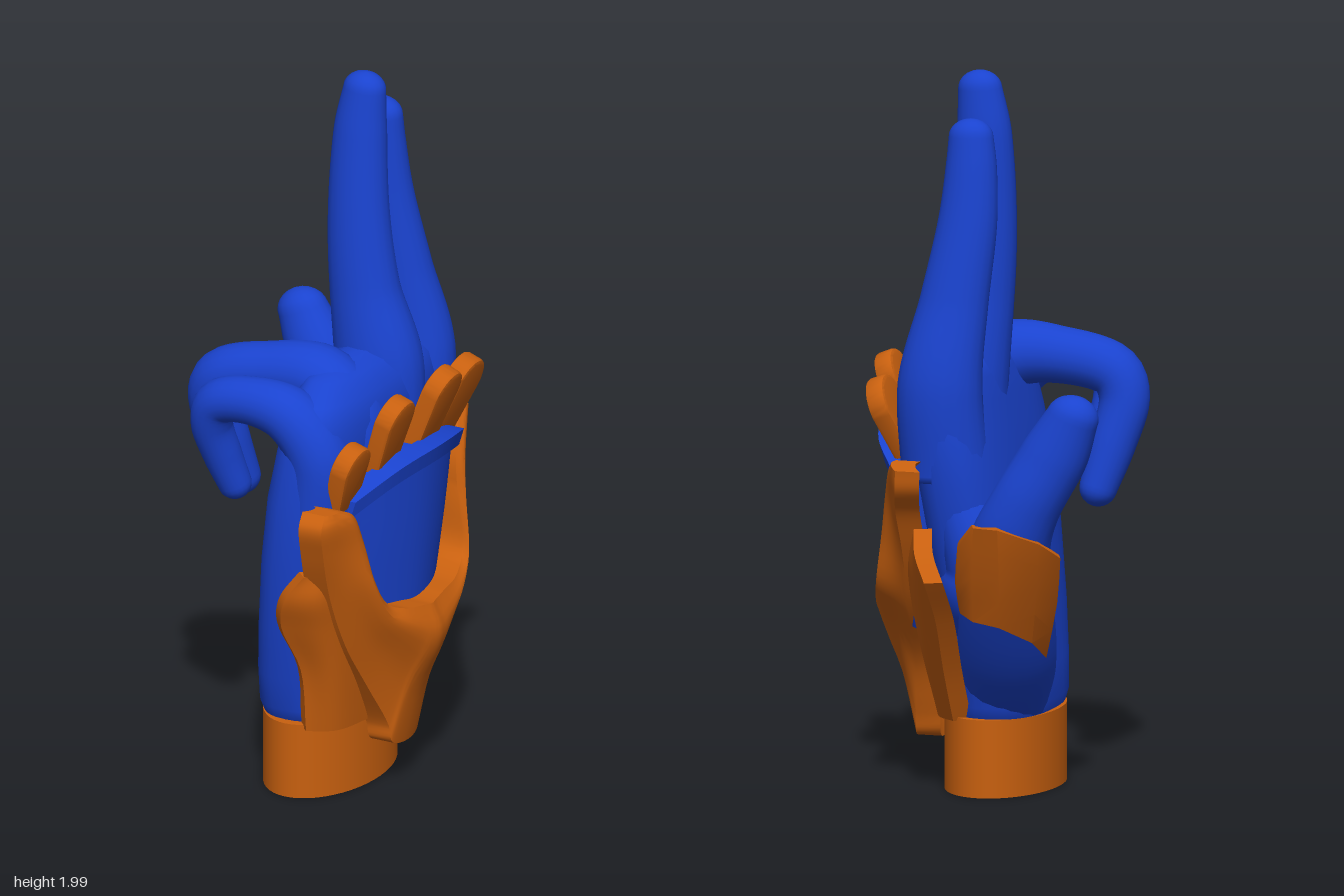
import * as THREE from 'three';
import { toCreasedNormals } from 'three/addons/utils/BufferGeometryUtils.js';

const V = (x, y, z) => new THREE.Vector3(x, y, z);
const blue = new THREE.MeshStandardMaterial({ color: 0x1a43cf });
const orange = new THREE.MeshStandardMaterial({ color: 0xc8600f, side: THREE.DoubleSide });
const bluePlate = new THREE.MeshStandardMaterial({ color: 0x1a43cf, side: THREE.DoubleSide });

// Smooth closed skin over a list of rings
function loft(rings) {
  const n = rings[0].length, pos = [], idx = [];
  const centre = r => r.reduce((a, p) => a.add(p), V(0, 0, 0)).divideScalar(n);
  rings.forEach(r => r.forEach(p => pos.push(p.x, p.y, p.z)));
  for (let i = 0; i < rings.length - 1; i++) {
    for (let j = 0; j < n; j++) {
      const k = (j + 1) % n, a = i * n, b = a + n;
      idx.push(a + j, a + k, b + k, a + j, b + k, b + j);
    }
  }
  const last = (rings.length - 1) * n, c = rings.length * n;
  for (const p of [centre(rings[0]), centre(rings[rings.length - 1])]) pos.push(p.x, p.y, p.z);
  for (let j = 0; j < n; j++) {
    const k = (j + 1) % n;
    idx.push(c, k, j, c + 1, last + j, last + k);
  }
  // Signed volume decides whether the winding must be turned round
  const at = i => V(pos[i * 3], pos[i * 3 + 1], pos[i * 3 + 2]);
  let vol = 0;
  for (let i = 0; i < idx.length; i += 3) vol += at(idx[i]).dot(at(idx[i + 1]).cross(at(idx[i + 2])));
  if (vol < 0) idx.reverse();
  const g = new THREE.BufferGeometry();
  g.setAttribute('position', new THREE.Float32BufferAttribute(pos, 3));
  g.setIndex(idx);
  g.computeVertexNormals();
  return g;
}

// Tapered limb with a round tip; each stop is [x, y, z, radius], depth widens the section along x
function limb(stops, depth = 1) {
  const curve = new THREE.CatmullRomCurve3(stops.map(s => V(s[0], s[1], s[2])), false, 'centripetal');
  const radius = new THREE.CatmullRomCurve3(stops.map(s => V(s[3], 0, 0)));
  const steps = 48, n = 20, f = curve.computeFrenetFrames(steps);
  const ring = (c, r, i) => Array.from({ length: n }, (_, j) => {
    const a = j / n * Math.PI * 2;
    const o = V(0, 0, 0).addScaledVector(f.normals[i], r * Math.cos(a)).addScaledVector(f.binormals[i], r * Math.sin(a));
    o.x *= depth;
    return o.add(c);
  });
  const rings = [];
  // Frames are spaced by arc length, so the points and radii are too
  for (let i = 0; i <= steps; i++) {
    const t = curve.getUtoTmapping(i / steps);
    rings.push(ring(curve.getPoint(t), radius.getPoint(t).x, i));
  }
  const r = stops[stops.length - 1][3], end = curve.getPoint(1);
  for (let k = 1; k <= 6; k++) {
    const a = k / 6.3 * Math.PI / 2;
    rings.push(ring(end.clone().addScaledVector(f.tangents[steps], r * Math.sin(a)), r * Math.cos(a), steps));
  }
  return loft(rings);
}

// Curved armour plate: a grid of [x, y, z] rows, thickened along an offset
function plate(rows, offset, nu = 8, nv = 24) {
  const spline = pts => new THREE.CatmullRomCurve3(pts, false, 'centripetal');
  const lines = rows.map(r => spline(r.map(p => V(...p))));
  const grid = [];
  for (let u = 0; u <= nu; u++) {
    const across = spline(lines.map(l => l.getPoint(u / nu)));
    grid.push(Array.from({ length: nv + 1 }, (_, v) => across.getPoint(v / nv)));
  }
  const off = V(...offset), back = grid.map(l => l.map(p => p.clone().add(off))), pts = [];
  const quad = (a, b, c, d) => pts.push(a, b, c, a, c, d);
  for (let u = 0; u < nu; u++) for (let v = 0; v < nv; v++) {
    quad(grid[u][v], grid[u + 1][v], grid[u + 1][v + 1], grid[u][v + 1]);
    quad(back[u][v], back[u][v + 1], back[u + 1][v + 1], back[u + 1][v]);
  }
  for (let u = 0; u < nu; u++) {
    quad(grid[u][0], back[u][0], back[u + 1][0], grid[u + 1][0]);
    quad(grid[u][nv], grid[u + 1][nv], back[u + 1][nv], back[u][nv]);
  }
  for (let v = 0; v < nv; v++) {
    quad(grid[0][v], grid[0][v + 1], back[0][v + 1], back[0][v]);
    quad(grid[nu][v], back[nu][v], back[nu][v + 1], grid[nu][v + 1]);
  }
  return toCreasedNormals(new THREE.BufferGeometry().setFromPoints(pts), 0.6);
}

export function createModel() {
  const model = new THREE.Group();
  const add = (name, geometry, material) => {
    const m = new THREE.Mesh(geometry, material);
    m.name = name;
    model.add(m);
  };

  // Palm: rounded sections [y, centre x, half x, centre z, half z]
  const sections = [
    [0.18, 0.03, 0.125, 0.09, 0.215], [0.25, 0.015, 0.13, 0.09, 0.24], [0.35, 0.02, 0.13, 0.09, 0.265],
    [0.5, 0.035, 0.135, 0.08, 0.3], [0.7, 0.06, 0.14, 0.07, 0.34], [0.88, 0.08, 0.14, 0.055, 0.36],
    [1.02, 0.1, 0.13, 0.05, 0.36], [1.1, 0.11, 0.122, 0.045, 0.35], [1.165, 0.11, 0.105, 0.035, 0.32],
    [1.21, 0.1, 0.075, 0.02, 0.26], [1.23, 0.1, 0.03, 0.01, 0.18]];
  add('palm', loft(sections.map(([y, cx, hx, cz, hz]) => Array.from({ length: 40 }, (_, i) => {
    const a = i / 40 * Math.PI * 2, c = Math.cos(a), s = Math.sin(a);
    return V(cx + hx * Math.sign(c) * Math.abs(c) ** 0.8, y, cz + hz * Math.sign(s) * Math.abs(s) ** 0.8);
  }))), blue);

  // Two raised fingers, two curled ones and the thumb
  add('indexFinger', limb([[0.11, 0.9, -0.2, 0.1], [0.12, 1.15, -0.225, 0.095], [0.087, 1.38, -0.203, 0.077],
    [0.055, 1.6, -0.182, 0.066], [0.048, 1.75, -0.172, 0.057], [0.05, 1.83, -0.168, 0.05]], 1.24), blue);
  add('middleFinger', limb([[0.11, 0.9, -0.04, 0.1], [0.115, 1.15, -0.04, 0.105], [0.073, 1.38, -0.033, 0.083],
    [0.052, 1.6, -0.038, 0.072], [0.05, 1.83, -0.052, 0.062], [0.06, 1.945, -0.057, 0.05]], 1.22), blue);
  add('ringFinger', limb([[0.14, 0.9, 0.16, 0.1], [0.135, 1.07, 0.165, 0.105], [0.05, 1.17, 0.165, 0.095],
    [-0.1, 1.175, 0.185, 0.078], [-0.24, 1.135, 0.2, 0.074], [-0.27, 1.07, 0.195, 0.07],
    [-0.245, 0.94, 0.165, 0.064], [-0.215, 0.825, 0.135, 0.052]]), blue);
  add('littleFinger', limb([[0.13, 0.85, 0.32, 0.09], [0.13, 1.02, 0.33, 0.088], [0.05, 1.125, 0.34, 0.08],
    [-0.07, 1.15, 0.35, 0.066], [-0.17, 1.125, 0.35, 0.062], [-0.195, 1.06, 0.34, 0.058],
    [-0.18, 0.96, 0.31, 0.054], [-0.155, 0.87, 0.285, 0.047]]), blue);
  add('thumb', limb([[0.01, 0.26, 0.0, 0.1], [-0.04, 0.4, -0.13, 0.115], [-0.08, 0.58, -0.255, 0.108],
    [-0.12, 0.75, -0.35, 0.095], [-0.17, 0.86, -0.372, 0.084], [-0.25, 1.0, -0.365, 0.08],
    [-0.305, 1.11, -0.372, 0.062]], 1.2), blue);
  add('thumbWeb', limb([[0.05, 0.45, -0.08, 0.1], [0.01, 0.66, -0.2, 0.1], [0.07, 0.85, -0.21, 0.075]]), blue);

  // Wrist cuff
  const cuff = new THREE.CylinderGeometry(1, 1, 0.215, 48);
  cuff.scale(0.155, 1, 0.253).translate(0.035, 0.1125, 0.092);
  add('wristCuff', cuff, orange);

  // Blue back panel with a raised upper rim
  const arch = [[0.21, 0.89, 0.33], [0.285, 0.96, 0.21], [0.325, 0.985, 0.05], [0.295, 0.96, -0.12], [0.22, 0.9, -0.24]];
  add('backPanel', plate([
    arch,
    arch.map(([x, y, z]) => [x - 0.02, y * 0.5 + 0.25, z * 0.93]),
    arch.map(([x, , z]) => [x - 0.05, 0.46, z * 0.8])], [-0.1, 0, 0], 20, 8), bluePlate);
  add('panelRim', plate([
    arch.map(([x, y, z]) => [x + 0.035, y + 0.015, z]),
    arch.map(([x, y, z]) => [x + 0.02, y - 0.035, z])], [-0.07, 0, 0], 20, 2), bluePlate);

  // U-shaped shield: pairs of [outer x, y, z, inner x, y, z] from horn to horn
  const shield = [
    [0.225, 0.91, 0.465, 0.235, 0.912, 0.42], [0.23, 0.875, 0.495, 0.255, 0.885, 0.365],
    [0.225, 0.79, 0.475, 0.265, 0.8, 0.325], [0.215, 0.65, 0.42, 0.285, 0.68, 0.3],
    [0.22, 0.48, 0.34, 0.3, 0.59, 0.25], [0.24, 0.33, 0.25, 0.325, 0.56, 0.19],
    [0.265, 0.2, 0.18, 0.335, 0.55, 0.14], [0.27, 0.15, 0.17, 0.34, 0.545, 0.11],
    [0.275, 0.13, 0.1, 0.345, 0.54, 0.08], [0.27, 0.14, 0.03, 0.34, 0.54, 0.05],
    [0.265, 0.2, 0.01, 0.335, 0.545, 0.0], [0.25, 0.35, -0.04, 0.325, 0.555, -0.09],
    [0.23, 0.54, -0.17, 0.3, 0.6, -0.17], [0.22, 0.7, -0.255, 0.275, 0.74, -0.19],
    [0.22, 0.81, -0.31, 0.26, 0.85, -0.205], [0.205, 0.88, -0.365, 0.24, 0.925, -0.255],
    [0.2, 0.935, -0.375, 0.215, 0.955, -0.32]];
  const between = (s, t, lift) => [0, 1, 2].map(i => s[i] + (s[i + 3] - s[i]) * t + (i ? 0 : lift));
  add('backShield', plate([
    shield.map(s => between(s, 0, 0)),
    shield.map(s => between(s, 0.4, 0.012)),
    shield.map((s, i) => between(s, 0.8, 0.012 + 0.032 * Math.sin(i / 16 * Math.PI))),
    shield.map(s => between(s, 1, 0))], [-0.07, 0, 0], 80, 12), orange);

  // Lower side plates tucked beneath the shield
  add('outerSidePlate', plate([
    [[0.1, 0.21, 0.345], [0.1, 0.4, 0.375], [0.07, 0.54, 0.43], [0.095, 0.63, 0.46], [0.15, 0.71, 0.45]],
    [[0.17, 0.21, 0.3], [0.18, 0.4, 0.35], [0.18, 0.54, 0.4], [0.19, 0.64, 0.43], [0.2, 0.71, 0.42]],
    [[0.21, 0.21, 0.15], [0.23, 0.4, 0.22], [0.24, 0.54, 0.28], [0.24, 0.64, 0.31], [0.24, 0.7, 0.32]]],
  [-0.03, 0, -0.03], 20, 12), orange);
  add('thumbSidePlate', plate([
    [[0.11, 0.21, -0.14], [0.11, 0.36, -0.225], [0.1, 0.52, -0.33], [0.1, 0.64, -0.43]],
    [[0.17, 0.21, -0.08], [0.18, 0.4, -0.18], [0.17, 0.57, -0.28], [0.14, 0.71, -0.39]],
    [[0.21, 0.22, 0.05], [0.23, 0.46, -0.1], [0.21, 0.64, -0.23], [0.16, 0.77, -0.335]]],
  [-0.045, 0, 0.025], 20, 12), orange);

  // Faceted guard around the outside of the thumb
  add('thumbGuard', plate([
    [[-0.27, 0.72, -0.37], [-0.235, 0.77, -0.45], [-0.13, 0.81, -0.495], [-0.04, 0.8, -0.43], [0.03, 0.73, -0.34]],
    [[-0.235, 0.58, -0.29], [-0.21, 0.64, -0.39], [-0.12, 0.67, -0.45], [-0.03, 0.66, -0.41], [0.04, 0.62, -0.33]],
    [[-0.175, 0.41, -0.2], [-0.17, 0.47, -0.31], [-0.1, 0.52, -0.385], [-0.02, 0.53, -0.37], [0.035, 0.54, -0.31]]],
  [0.02, 0, 0.05], 4, 4), orange);

  // Knuckle tabs: [x, y, z, height, width, fan, lean]
  const tabs = [
    [0.18, 0.9, 0.325, 0.18, 0.135, 0.12, 0.3], [0.21, 0.95, 0.17, 0.225, 0.14, 0.06, 0.33],
    [0.235, 0.96, 0.005, 0.25, 0.14, -0.06, 0.38], [0.21, 0.93, -0.125, 0.25, 0.155, -0.36, 0.35]];
  for (const [x, y, z, h, w, fan, lean] of tabs) {
    const r = w / 2 - 0.01, shape = new THREE.Shape();
    shape.moveTo(-r * 0.75, 0);
    shape.lineTo(r * 0.75, 0);
    shape.lineTo(r, h - r);
    shape.absarc(0, h - r, r, 0, Math.PI);
    const g = new THREE.ExtrudeGeometry(shape, {
      depth: 0.035, bevelSize: 0.01, bevelThickness: 0.01, bevelSegments: 2, curveSegments: 14 });
    g.rotateZ(fan).rotateY(Math.PI / 2).rotateZ(-lean).translate(x, y, z);
    add('knuckleTab', toCreasedNormals(g, 0.6), orange);
  }
  return model;
}
